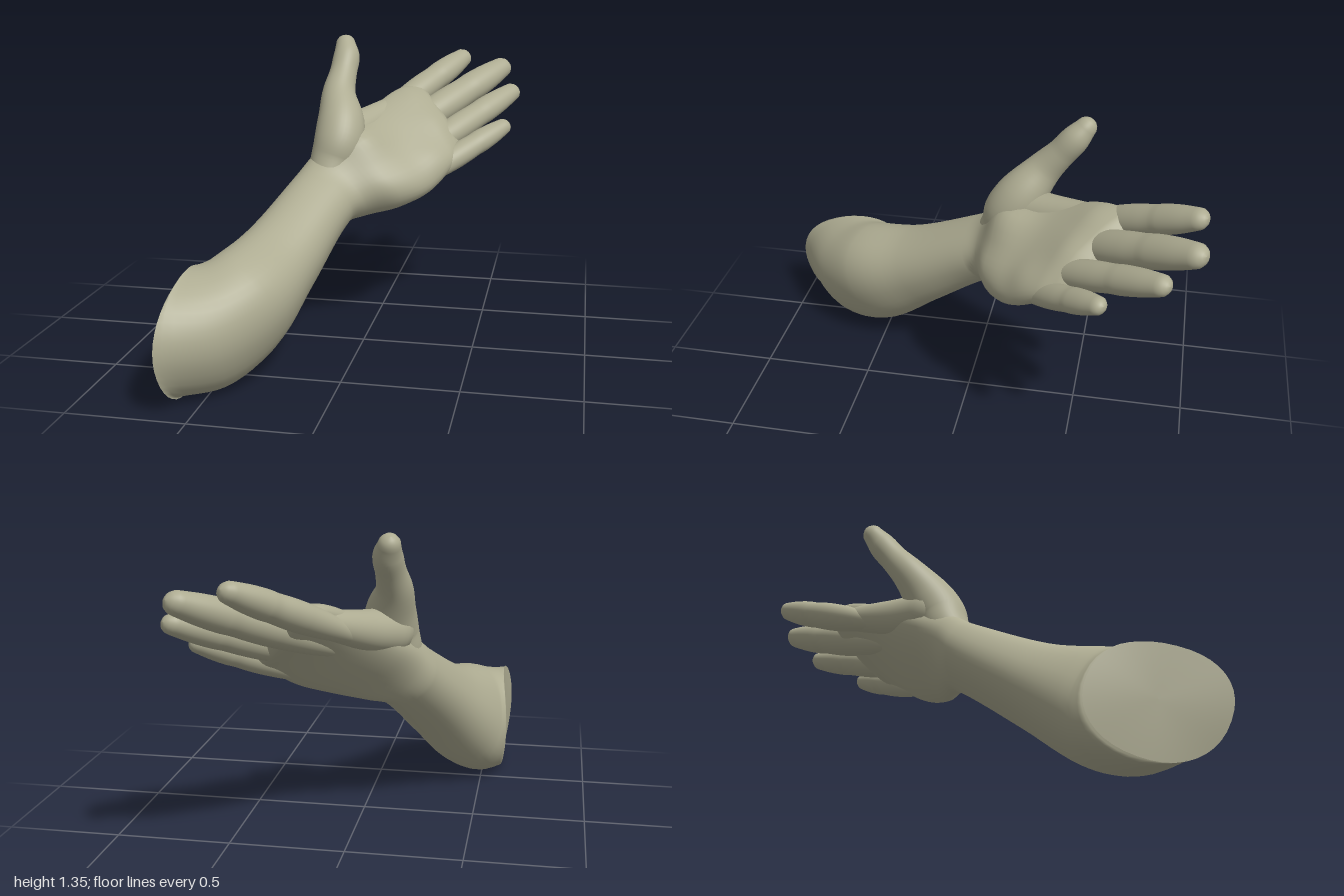
import * as THREE from 'three';

const SIDES = 40;
const PALM_UP = new THREE.Vector3(0.21, 0.78, 0.59).normalize(); // direction the palm faces

// Smooth interpolation of rows of numbers, spaced by the distance between their first three
function smooth(rows, steps) {
  const last = rows.length - 1, k = [0], out = [];
  for (let i = 1; i <= last; i++) {
    k[i] = k[i - 1] + Math.hypot(...[0, 1, 2].map(j => rows[i][j] - rows[i - 1][j]));
  }
  const slope = (i, j) => {
    const a = Math.max(i - 1, 0), b = Math.min(i + 1, last);
    return (rows[b][j] - rows[a][j]) / (k[b] - k[a]);
  };
  for (let i = 0; i < last; i++) {
    const h = k[i + 1] - k[i];
    for (let s = 0; s < steps; s++) {
      const t = s / steps, t2 = t * t, t3 = t2 * t;
      out.push(rows[i].map((p, j) =>
        (2 * t3 - 3 * t2 + 1) * p + (t3 - 2 * t2 + t) * h * slope(i, j) +
        (3 * t2 - 2 * t3) * rows[i + 1][j] + (t3 - t2) * h * slope(i + 1, j)));
    }
  }
  out.push(rows[last].slice());
  return out;
}

// Indexed surface with smooth normals
function surface(pos, index) {
  const g = new THREE.BufferGeometry();
  g.setAttribute('position', new THREE.Float32BufferAttribute(pos, 3));
  g.setIndex(index);
  g.computeVertexNormals();
  return g;
}

// Skin over rings (centre, half-width vector, half-thickness vector);
// shape() may move each point, given how far it lies to the palm side
function loft(rings, square = 1, shape = p => p) {
  const pos = [], index = [];
  const soft = x => Math.sign(x) * Math.pow(Math.abs(x), square);
  rings.forEach((r, i) => {
    for (let j = 0; j < SIDES; j++) {
      const a = (j / SIDES) * Math.PI * 2, c = soft(Math.cos(a)), s = soft(Math.sin(a));
      const p = [0, 1, 2].map(n => r[n] + r[3 + n] * c + r[6 + n] * s);
      pos.push(...shape(p, Math.sin(a)));
      if (i < rings.length - 1) {
        const q = i * SIDES + j, w = i * SIDES + (j + 1) % SIDES;
        index.push(q, q + SIDES, w, w, q + SIDES, w + SIDES);
      }
    }
  });
  return surface(pos, index);
}

// Round-ended limb through points [x, y, z, radius]
function limb(points, flat = 1) {
  const rows = smooth(points, 5), n = rows.length - 1, rings = [];
  const at = i => new THREE.Vector3(...rows[i].slice(0, 3));
  const add = (i, shift, scale) => {
    const t = at(Math.min(i + 1, n)).sub(at(Math.max(i - 1, 0))).normalize();
    const r = rows[i][3];
    const u = t.clone().cross(PALM_UP).normalize();
    const v = u.clone().cross(t).multiplyScalar(r * scale * flat);
    const c = at(i).addScaledVector(t, shift * r);
    rings.push([...c.toArray(), ...u.multiplyScalar(r * scale).toArray(), ...v.toArray()]);
  };
  const angles = [22, 45, 67, 89.5].map(d => d * Math.PI / 180);
  [...angles].reverse().forEach(a => add(0, -Math.sin(a), Math.cos(a)));
  rows.forEach((_, i) => add(i, 0, 1));
  angles.forEach(a => add(n, Math.sin(a), Math.cos(a)));
  return loft(rings);
}

// Soft swellings of the palm: x, y, z, height, reach
const MOUNDS = [
  [-0.06, 0.87, -0.18, 0.08, 0.13],  // below the thumb
  [0.05, 0.68, -0.10, 0.025, 0.09],  // heel
  [0.15, 0.72, -0.17, 0.02, 0.10],   // outer edge
  [0.27, 0.79, -0.28, 0.015, 0.09],
  [0.13, 1.03, -0.56, 0.012, 0.08],  // finger roots
  [0.25, 0.94, -0.48, 0.012, 0.08],
];

// Trim at the elbow cut and swell the palm side
function shapeArm([x, y, z], palmSide) {
  const facing = THREE.MathUtils.smoothstep(palmSide, -0.25, 0.45);
  let lift = 0;
  for (const [mx, my, mz, h, reach] of MOUNDS) {
    const d2 = (x - mx) ** 2 + (y - my) ** 2 + (z - mz) ** 2;
    lift += h * facing * Math.exp(-d2 / reach ** 2);
  }
  const trimmed = Math.max(x, -0.622 + 0.5 * (y - 0.27) ** 2);
  return [trimmed + PALM_UP.x * lift, y + PALM_UP.y * lift, z + PALM_UP.z * lift];
}

export function createModel() {
  const group = new THREE.Group();
  const clay = new THREE.MeshStandardMaterial({ color: 0xaeac92 });
  clay.name = 'clay';
  const add = (name, geometry) => {
    const mesh = new THREE.Mesh(geometry, clay);
    mesh.name = name;
    group.add(mesh);
  };

  // Forearm, wrist and palm: centre, half-width vector, half-thickness vector
  const arm = loft(smooth([
    [-0.63, 0.265, 0.715, 0, -0.10, 0.265, 0, 0.225, 0.09],
    [-0.505, 0.265, 0.62, 0.10, -0.12, 0.185, 0.02, 0.22, 0.13],
    [-0.41, 0.325, 0.50, 0.17, -0.095, 0.085, 0.045, 0.205, 0.13],
    [-0.315, 0.455, 0.27, 0.16, -0.075, 0.045, 0.037, 0.14, 0.105],
    [-0.195, 0.655, -0.035, 0.138, -0.07, 0.035, 0.027, 0.10, 0.077],
    [-0.135, 0.70, -0.11, 0.14, -0.105, 0.04, 0.023, 0.088, 0.066],
    [-0.027, 0.75, -0.203, 0.172, -0.13, 0.078, 0.02, 0.076, 0.058],
    [0.105, 0.83, -0.34, 0.165, -0.16, 0.11, 0.017, 0.064, 0.049],
    [0.197, 0.912, -0.482, 0.16, -0.15, 0.125, 0.015, 0.056, 0.042],
    [0.245, 0.94, -0.565, 0.125, -0.135, 0.135, 0.012, 0.047, 0.035],
    [0.268, 0.95, -0.595, 0.105, -0.11, 0.11, 0.006, 0.022, 0.017],
    [0.275, 0.955, -0.605, 0.10, -0.10, 0.10, 0.0002, 0.001, 0.0007],
  ], 6), 0.9, shapeArm);
  add('forearmAndPalm', arm);

  // Cut face at the elbow end, closing the first ring
  const rim = [-0.608, 0.265, 0.715, ...arm.attributes.position.array.slice(0, SIDES * 3)];
  const fan = [];
  for (let j = 1; j <= SIDES; j++) fan.push(0, j, (j % SIDES) + 1);
  add('cutEnd', surface(rim, fan));

  // Fingers: knuckle, tip, radius; the root is sunk back into the palm
  const fingers = {
    indexFinger: [[0.122, 1.045, -0.685], [0.348, 1.21, -0.997], 0.066],
    middleFinger: [[0.245, 0.98, -0.635], [0.553, 1.165, -1.0], 0.074],
    ringFinger: [[0.328, 0.89, -0.525], [0.61, 1.055, -0.88], 0.064],
    littleFinger: [[0.348, 0.785, -0.405], [0.59, 0.92, -0.64], 0.056],
  };
  const profile = [[-0.7, 0.65], [-0.35, 0.9], [0, 1.03], [0.22, 1.03], [0.42, 0.98], [0.55, 1], [0.78, 0.91], [1, 0.73]];
  for (const [name, [from, to, r]] of Object.entries(fingers)) {
    const a = new THREE.Vector3(...from), b = new THREE.Vector3(...to);
    b.addScaledVector(b.clone().sub(a).normalize(), -0.73 * r);
    add(name, limb(profile.map(([s, k]) => [...a.clone().lerp(b, s).toArray(), r * k]), 0.88));
  }

  // Thumb with its fleshy base running into the wrist
  add('thumb', limb([
    [-0.19, 0.72, -0.08, 0.088], [-0.17, 0.81, -0.13, 0.103], [-0.148, 0.89, -0.16, 0.114],
    [-0.15, 0.98, -0.215, 0.108], [-0.177, 1.09, -0.30, 0.079], [-0.172, 1.18, -0.375, 0.064],
    [-0.168, 1.25, -0.43, 0.062], [-0.18, 1.302, -0.472, 0.047],
  ]));

  // Flesh between the thumb and the index knuckle
  add('thumbWeb', limb([
    [-0.15, 0.90, -0.22, 0.10], [-0.08, 0.925, -0.34, 0.088],
    [0.0, 0.968, -0.48, 0.07], [0.08, 1.01, -0.60, 0.055],
  ]));

  return group;
}
